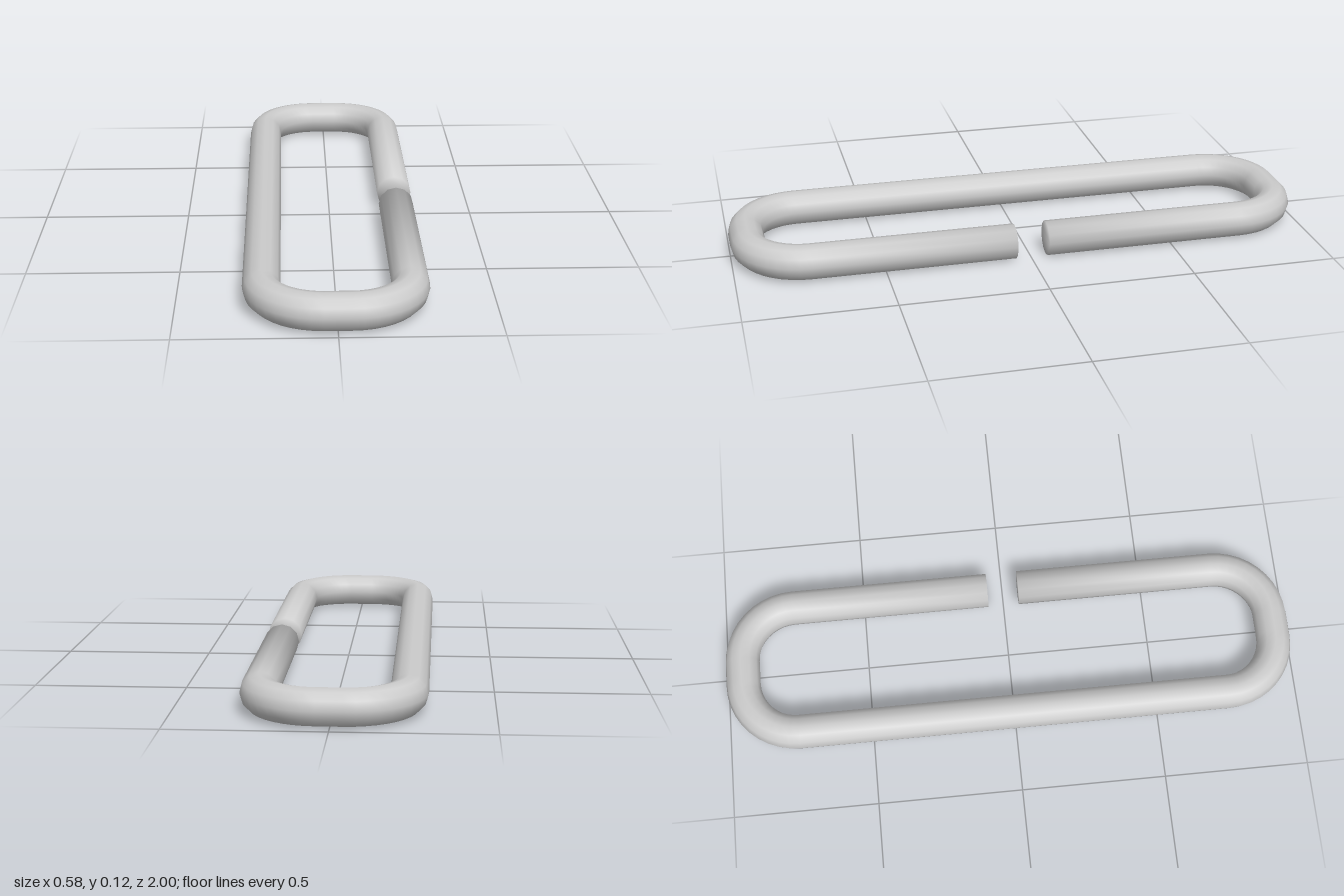
import * as THREE from 'three';

const SIDES = 12;      // sides of the wire
const WIRE = 0.06;     // wire radius
const BEND = 0.19;     // centreline radius of the corners
const CX = 0.042;      // corner centres
const CZ = 0.75;
const GAP = 0.055;     // half of the opening
const STEPS = 10;      // segments per corner

// Centreline stations: position plus the angle of the outward direction
function stations() {
  const list = [{ x: CX + BEND, z: -GAP, phi: 0, axial: 1 }];
  [[1, -1], [-1, -1], [-1, 1], [1, 1]].forEach(([sx, sz], k) => {
    for (let i = 0; i <= STEPS; i++) {
      const phi = -(k + i / STEPS) * Math.PI / 2;
      list.push({
        x: sx * CX + BEND * Math.cos(phi),
        z: sz * CZ + BEND * Math.sin(phi),
        phi, axial: 0,
      });
    }
  });
  list.push({ x: CX + BEND, z: GAP, phi: -2 * Math.PI, axial: -1 });
  return list;
}

function linkGeometry() {
  const pos = [], nor = [], idx = [];
  const rings = stations();
  // Rings of the wire; end normals lean softly into the caps
  for (const { x, z, phi, axial } of rings) {
    for (let j = 0; j < SIDES; j++) {
      const a = j / SIDES * Math.PI * 2;
      const d = new THREE.Vector3(Math.cos(a) * Math.cos(phi), Math.sin(a), Math.cos(a) * Math.sin(phi));
      pos.push(x + d.x * WIRE, WIRE + 0.001 + d.y * WIRE, z + d.z * WIRE);
      d.z += 0.8 * axial;
      d.normalize();
      nor.push(d.x, d.y, d.z);
    }
  }
  // Wire surface
  for (let i = 0; i < rings.length - 1; i++) {
    for (let j = 0; j < SIDES; j++) {
      const a = i * SIDES + j, b = i * SIDES + (j + 1) % SIDES;
      idx.push(a, a + SIDES, b, b, a + SIDES, b + SIDES);
    }
  }
  // Flat end caps
  const last = (rings.length - 1) * SIDES;
  for (let j = 1; j < SIDES - 1; j++) {
    idx.push(0, j, j + 1, last, last + j + 1, last + j);
  }
  const geo = new THREE.BufferGeometry();
  geo.setAttribute('position', new THREE.Float32BufferAttribute(pos, 3));
  geo.setAttribute('normal', new THREE.Float32BufferAttribute(nor, 3));
  geo.setIndex(idx);
  return geo;
}

export function createModel() {
  const group = new THREE.Group();
  group.name = 'openChainLink';
  const link = new THREE.Mesh(linkGeometry(), new THREE.MeshStandardMaterial({ color: 0xcccccc }));
  link.name = 'bentWire';
  group.add(link);
  return group;
}
